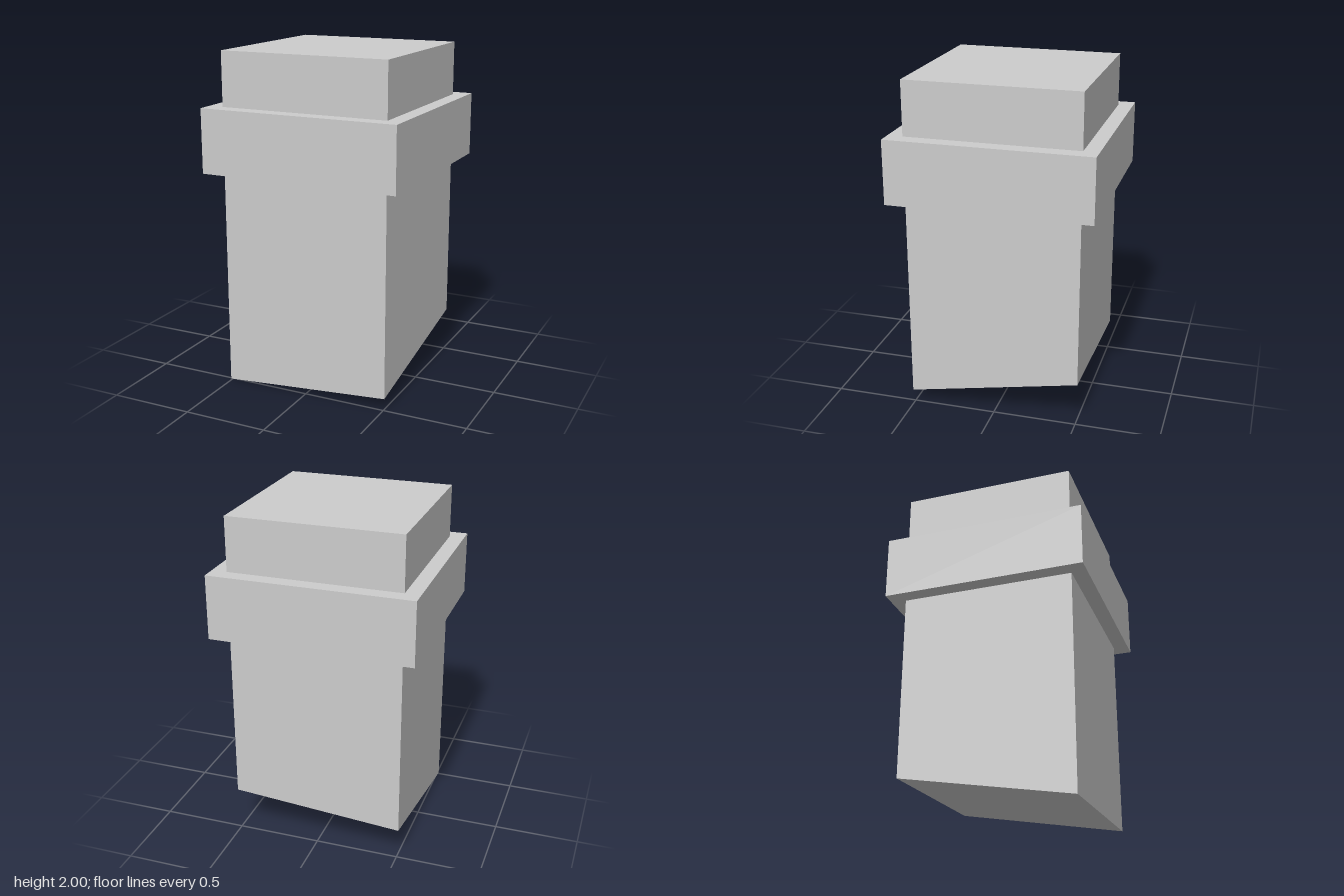
import * as THREE from 'three';

export function createModel() {
  const model = new THREE.Group();
  const stone = new THREE.MeshStandardMaterial({ color: 0xcccccc });
  stone.name = 'light grey';

  // A square block of the given width between two heights
  function block(name, width, bottom, top) {
    const geometry = new THREE.BoxGeometry(width, top - bottom, width);
    geometry.translate(0, (top + bottom) / 2, 0);
    const mesh = new THREE.Mesh(geometry, stone);
    mesh.name = name;
    model.add(mesh);
    return mesh;
  }

  // Shaft: its foot is cut on a slope, rising to the left and to the back
  const width = 1.02;
  const shaft = block('shaft', width, 0, 2);
  const position = shaft.geometry.attributes.position;
  for (let i = 0; i < position.count; i++) {
    if (position.getY(i) > 1) continue;
    const across = position.getX(i) / width + 0.5;
    const back = 0.5 - position.getZ(i) / width;
    position.setY(i, 0.077 * across + 0.193 * back);
  }
  shaft.geometry.computeVertexNormals();

  // Wider band around the shaft, near the top
  block('collar', 1.2, 1.3, 1.68);

  return model;
}
